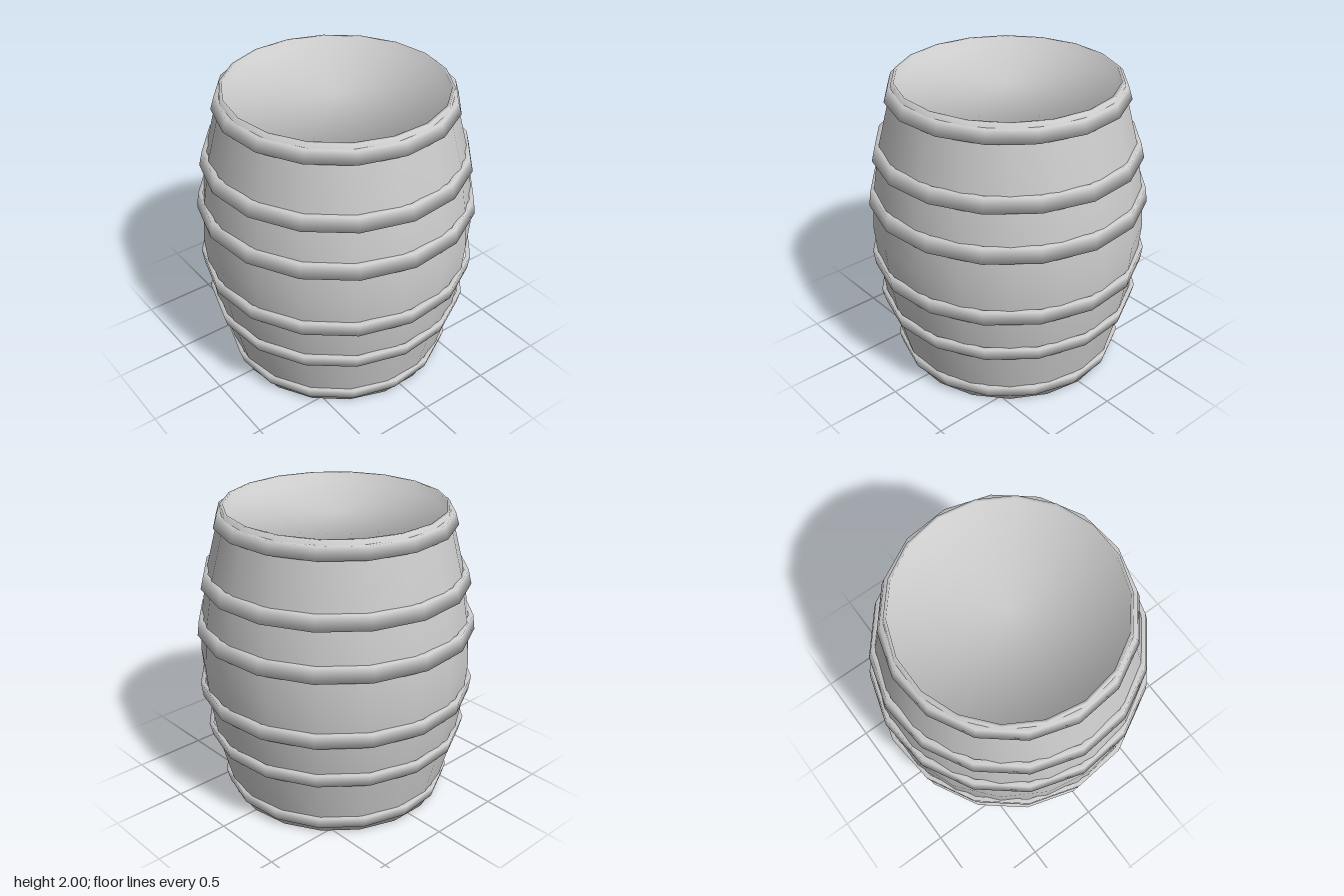
import * as THREE from 'three';

const material = new THREE.MeshStandardMaterial({ color: 0xcccccc });

// Turned part with softly shaded corners: each profile point takes the
// evenly weighted mean normal of its two neighbouring segments.
function turned(name, profile, sides, startDegrees) {
  const points = profile.map(([r, y]) => new THREE.Vector2(r, y));
  const start = THREE.MathUtils.degToRad(startDegrees);
  const geometry = new THREE.LatheGeometry(points, sides, start);
  const segmentNormals = points.slice(1).map((p, i) => {
    const d = p.clone().sub(points[i]).normalize();
    return new THREE.Vector2(d.y, -d.x);
  });
  const normals = points.map((p, i) => {
    const n = new THREE.Vector2();
    if (i > 0) n.add(segmentNormals[i - 1]);
    if (i < segmentNormals.length) n.add(segmentNormals[i]);
    return n.normalize();
  });
  const attribute = geometry.attributes.normal;
  for (let i = 0; i <= sides; i++) {
    const phi = start + (i / sides) * Math.PI * 2;
    normals.forEach((n, j) => attribute.setXYZ(
      i * points.length + j, n.x * Math.sin(phi), n.y, n.x * Math.cos(phi)));
  }
  const mesh = new THREE.Mesh(geometry, material);
  mesh.name = name;
  return mesh;
}

export function createModel() {
  const barrel = new THREE.Group();
  barrel.name = 'barrel';

  // Body: recessed head, thin rim and bulging wall, mirrored about mid height
  const lowerHalf = [
    [0, 0.065], [0.712, 0.065], [0.712, 0], [0.73, 0],
    [0.757, 0.125], [0.833, 0.42], [0.883, 0.73],
  ];
  const upperHalf = lowerHalf.map(([r, y]) => [r, 2 - y]).reverse();
  barrel.add(turned('body', [...lowerHalf, [0.905, 1], ...upperHalf], 18, 10));

  // Hoops: [bottom y, top y, bottom radius, top radius]
  const hoops = [
    [0.04, 0.125, 0.758, 0.782],
    [0.425, 0.515, 0.86, 0.882],
    [0.73, 0.83, 0.908, 0.921],
    [1.18, 1.28, 0.921, 0.908],
    [1.497, 1.59, 0.882, 0.86],
    [1.89, 1.97, 0.782, 0.758],
  ];
  hoops.forEach(([y0, y1, r0, r1], i) => {
    const depth = 0.03;
    barrel.add(turned(`hoop${i + 1}`,
      [[r0 - depth, y0], [r0, y0], [r1, y1], [r1 - depth, y1]], 16, 16.875));
  });

  return barrel;
}
